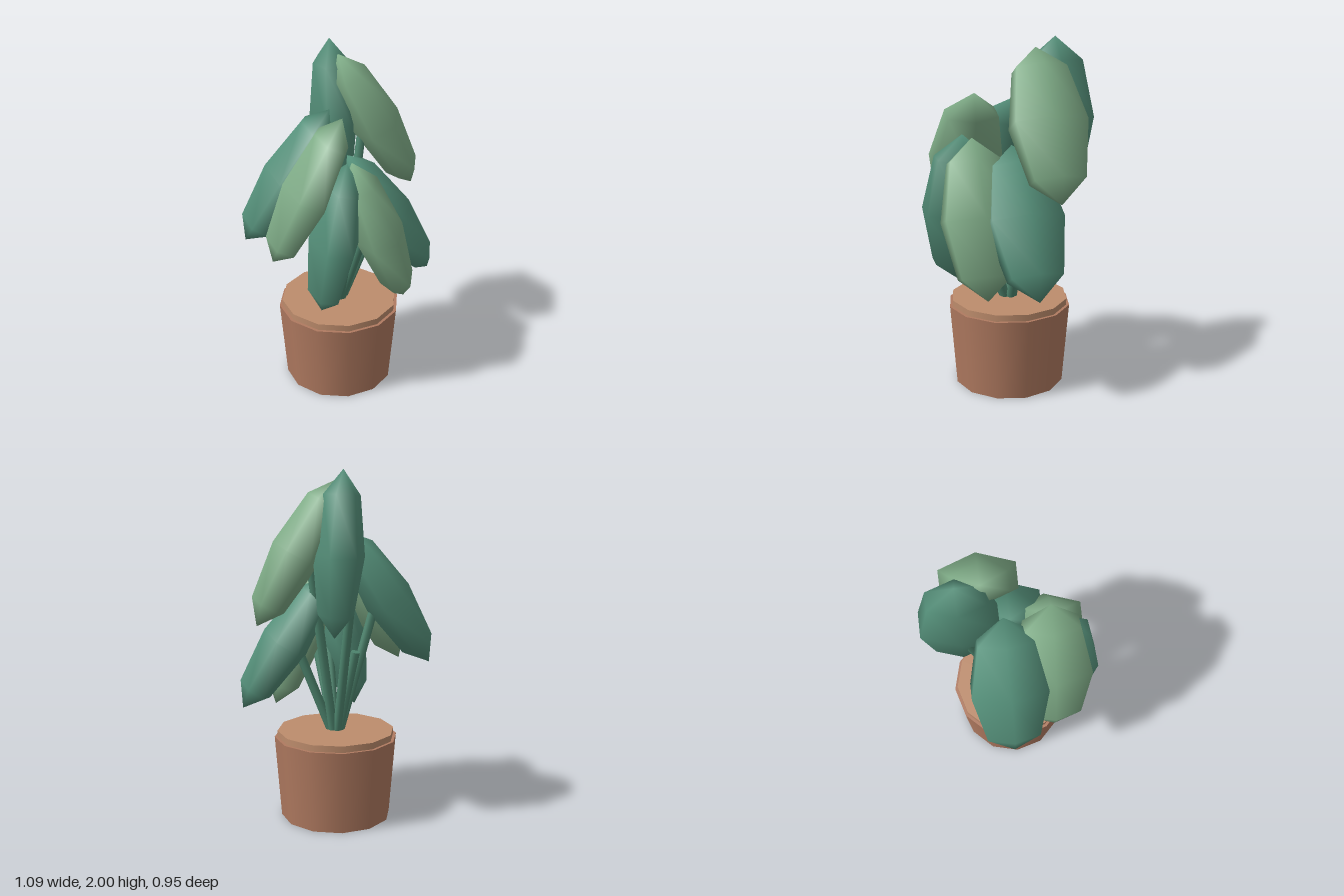
import * as THREE from 'three';

const paint = (color) => new THREE.MeshStandardMaterial({ color });
const potMat = paint(0xb07a60);
const soilMat = paint(0xbd8c6c);
const darkLeaf = paint(0x55907a);
const lightLeaf = paint(0x80ad88);
const stemMat = paint(0x4f8770);

function add(parent, name, geometry, material, x = 0, y = 0, z = 0) {
  const mesh = new THREE.Mesh(geometry, material);
  mesh.name = name;
  mesh.position.set(x, y, z);
  parent.add(mesh);
  return mesh;
}

// Straight round stem between two points
function addStem(parent, from, to) {
  const dir = to.clone().sub(from);
  const mid = from.clone().add(to).multiplyScalar(0.5);
  const stem = add(parent, 'stem', new THREE.CylinderGeometry(0.026, 0.026, dir.length(), 8), stemMat, ...mid);
  stem.quaternion.setFromUnitVectors(new THREE.Vector3(0, 1, 0), dir.normalize());
}

// Leaves: centre, outward side (+1 / -1 in x), lean in degrees, material
const LEAVES = [
  { at: [0.015, 1.55, -0.27], side: 1, lean: 3, mat: darkLeaf },
  { at: [0.235, 1.55, -0.147], side: 1, lean: 29, mat: lightLeaf },
  { at: [0.29, 1.035, 0], side: 1, lean: 33, mat: darkLeaf },
  { at: [0.183, 1.04, 0.225], side: 1, lean: 20, mat: lightLeaf },
  { at: [-0.075, 1.035, 0.27], side: -1, lean: 9, mat: darkLeaf },
  { at: [-0.21, 1.295, 0.195], side: -1, lean: 25.5, mat: lightLeaf },
  { at: [-0.29, 1.29, -0.047], side: -1, lean: 33, mat: darkLeaf },
];

export function createModel() {
  const plant = new THREE.Group();
  plant.name = 'pottedPlant';

  // Tapered pot with a slightly raised soil disc
  add(plant, 'pot', new THREE.CylinderGeometry(0.357, 0.32, 0.477, 12), potMat, 0, 0.2385, 0);
  add(plant, 'soil', new THREE.CylinderGeometry(0.34, 0.34, 0.04, 12), soilMat, 0, 0.494, 0);

  // Plump low-poly leaves, each carried by a stem meeting its inner face
  const leafGeometry = new THREE.SphereGeometry(1, 6, 4);
  for (const { at, side, lean, mat } of LEAVES) {
    const angle = THREE.MathUtils.degToRad(lean) * side;
    const leaf = add(plant, 'leaf', leafGeometry, mat, ...at);
    leaf.scale.set(0.14, 0.45, 0.237);
    leaf.rotation.z = angle;

    const inner = new THREE.Vector3(Math.cos(angle), Math.sin(angle), 0).multiplyScalar(-0.09 * side);
    const tip = inner.add(new THREE.Vector3(...at));
    const foot = new THREE.Vector3(tip.x, 0, tip.z).setLength(0.02).setY(0.49);
    addStem(plant, foot, tip);
  }

  // Bare shoot at the back
  addStem(plant, new THREE.Vector3(-0.012, 0.49, -0.012), new THREE.Vector3(-0.1, 0.99, -0.1));

  return plant;
}
